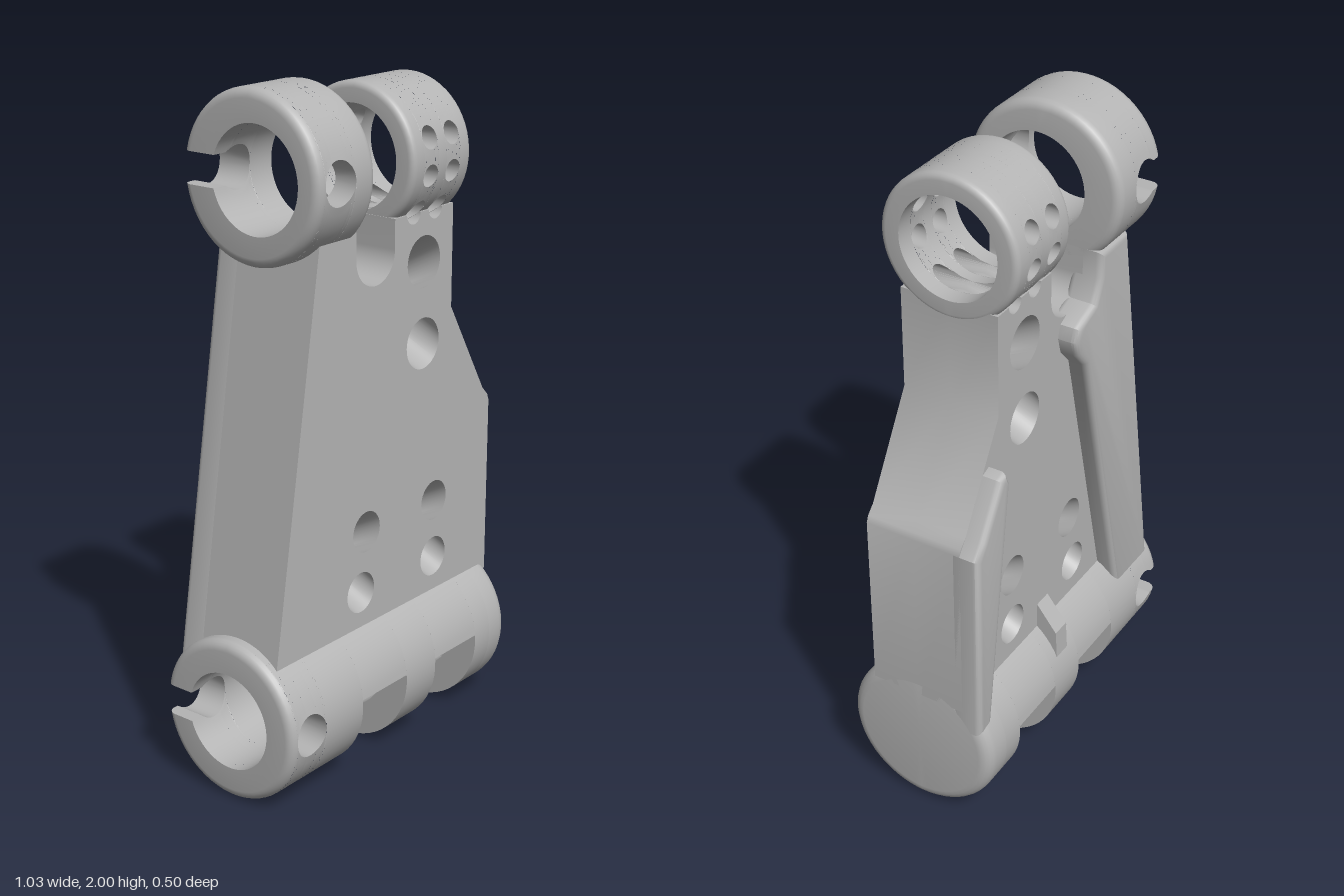
import * as THREE from 'three';
import { toCreasedNormals } from 'three/addons/utils/BufferGeometryUtils.js';

// smooth curved faces, keep edges sharp (enlarged so small fillets are resolved)
function crease(geo) {
  geo.scale(20, 20, 20);
  const out = toCreasedNormals(geo, 0.6);
  return out.scale(0.05, 0.05, 0.05);
}

// Tube along x with wall holes drilled along z.
// o: x0, x1, R, r, y, z, shift (outer offset in z), f0/f1 (end fillets),
// from (remove everything below this height), holes [{x, y, r, slot, side}]
function drilledTube(o) {
  const { x0, x1, R, r, y: cy, z: cz, shift = 0, f0 = 0, f1 = 0, from = -9, holes = [] } = o;
  const pos = [];
  const A = new THREE.Vector3(), B = new THREE.Vector3(), N = new THREE.Vector3();
  const tri = (a, b, c, hint) => {
    A.subVectors(b, a); B.subVectors(c, a); N.crossVectors(A, B);
    if (N.length() < 1e-9) return;
    const order = N.dot(hint) >= 0 ? [a, b, c] : [a, c, b];
    for (const p of order) pos.push(p.x, p.y + cy, p.z + cz);
  };
  const quad = (a, b, c, d, hint) => { tri(a, b, c, hint); tri(a, c, d, hint); };
  const outerR = (x) => {
    const round = (f, d) => (d < f ? f - Math.sqrt(Math.max(0, f * f - (f - d) ** 2)) : 0);
    return R - round(f0, x - x0) - round(f1, x1 - x);
  };
  const angle = (y, rad) => Math.asin(THREE.MathUtils.clamp(y / rad, -1, 1));
  const point = (x, a, rad, side, dz) =>
    new THREE.Vector3(x, rad * Math.sin(a), side * rad * Math.cos(a) + dz);
  const half = (h, x) => {
    const c = Math.sqrt(Math.max(0, h.r * h.r - (x - h.x) ** 2));
    return h.slot && x < h.x ? Math.max(h.slot, c) : c;
  };

  // stations along the axis: ends, fillets and hole edges
  const xs = [x0, x1];
  for (let i = 1; i <= 5; i++) {
    const k = 1 - Math.cos((i / 5) * Math.PI / 2);
    if (f0) xs.push(x0 + f0 * k);
    if (f1) xs.push(x1 - f1 * k);
  }
  for (const h of holes) {
    for (let i = 0; i <= 14; i++) xs.push(h.x - h.r * Math.cos((i / 14) * Math.PI));
    if (h.slot) xs.push(h.x - Math.sqrt(h.r * h.r - h.slot * h.slot));
  }
  const st = xs.sort((a, b) => a - b).filter((x, i) => i === 0 || x - xs[i - 1] > 1e-6);

  for (const side of [1, -1]) {
    for (let i = 0; i < st.length - 1; i++) {
      const xa = st[i], xb = st[i + 1], mid = (xa + xb) / 2;
      const Ra = outerR(xa), Rb = outerR(xb);
      const cut = holes
        .filter((h) => (!h.side || h.side === side) && (Math.abs(mid - h.x) < h.r || (h.slot && mid < h.x)))
        .sort((a, b) => a.y - b.y);
      const marks = [[from, from]];
      for (const h of cut) {
        marks.push([h.y - half(h, xa), h.y - half(h, xb)], [h.y + half(h, xa), h.y + half(h, xb)]);
      }
      marks.push([9, 9]);
      for (let m = 0; m < marks.length; m += 2) {
        const [la, lb] = marks[m], [ha, hb] = marks[m + 1];
        const steps = Math.max(2, Math.ceil((angle(ha, R) - angle(la, R)) / 0.11));
        const line = (x, lo, hi, rad, dz) => Array.from({ length: steps + 1 }, (_, k) =>
          point(x, THREE.MathUtils.lerp(angle(lo, rad), angle(hi, rad), k / steps), rad, side, dz));
        const oa = line(xa, la, ha, Ra, shift), ob = line(xb, lb, hb, Rb, shift);
        const ia = line(xa, la, ha, r, 0), ib = line(xb, lb, hb, r, 0);
        const left = new THREE.Vector3(-1, 0, 0), right = new THREE.Vector3(1, 0, 0);
        for (let k = 0; k < steps; k++) {
          const out = new THREE.Vector3(0, oa[k].y + oa[k + 1].y, oa[k].z + oa[k + 1].z - 2 * shift);
          quad(oa[k], ob[k], ob[k + 1], oa[k + 1], out);
          quad(ia[k], ib[k], ib[k + 1], ia[k + 1], out.clone().negate());
          if (i === 0) quad(oa[k], oa[k + 1], ia[k + 1], ia[k], left);
          if (i === st.length - 2) quad(ob[k], ob[k + 1], ib[k + 1], ib[k], right);
        }
        // walls of the holes
        if (la > -9) quad(oa[0], ob[0], ib[0], ia[0], new THREE.Vector3(0, -1, 0));
        if (ha < 9) quad(oa[steps], ob[steps], ib[steps], ia[steps], new THREE.Vector3(0, 1, 0));
      }
    }
  }
  const geo = new THREE.BufferGeometry();
  geo.setAttribute('position', new THREE.Float32BufferAttribute(pos, 3));
  return crease(geo);
}

export function createModel() {
  const group = new THREE.Group();
  const grey = new THREE.MeshStandardMaterial({ color: 0xb4b4b4 });
  grey.name = 'grey';
  const add = (name, geo) => {
    const mesh = new THREE.Mesh(geo, grey);
    mesh.name = name;
    group.add(mesh);
  };

  // main plate with fork notch
  const plate = new THREE.Shape();
  plate.moveTo(-0.478, 0.41);
  for (const [x, y] of [[0.513, 0.41], [0.513, 0.965], [0.505, 0.985], [0.48, 1.01], [0.31, 1.3], [0.31, 1.607]]) plate.lineTo(x, y);
  plate.absarc(0.225, 1.607, 0.031, 0, Math.PI, true);
  plate.absarc(0.125, 1.607, 0.031, 0, Math.PI, true);
  plate.lineTo(0.04, 1.607);
  plate.absarc(-0.045, 1.52, 0.085, 0, Math.PI, true);
  plate.lineTo(-0.13, 1.6);
  plate.lineTo(-0.283, 1.6);
  plate.closePath();
  // holes bend towards each other half way through: x, y, radius, bend
  const bores = [
    [0.175, 1.46, 0.076, -0.07], [0.175, 1.22, 0.076, 0.07],
    [-0.08, 0.72, 0.061, -0.07], [0.24, 0.72, 0.061, -0.07],
    [-0.105, 0.54, 0.061, 0.07], [0.24, 0.54, 0.061, 0.07],
  ];
  for (const [x, y, r] of bores) plate.holes.push(new THREE.Path().absarc(x, y, r, 0, Math.PI * 2, true));
  const plateGeo = new THREE.ExtrudeGeometry(plate, { depth: 0.3, steps: 2, bevelEnabled: false, curveSegments: 20 });
  const p = plateGeo.attributes.position;
  for (let i = 0; i < p.count; i++) {
    if (Math.abs(p.getZ(i) - 0.15) > 0.01) continue;
    const b = bores.find(([x, y, r]) => Math.hypot(p.getX(i) - x, p.getY(i) - y) < r + 0.004);
    if (b) p.setY(i, p.getY(i) + b[3]);
  }
  plateGeo.translate(0, 0, -0.14);
  add('plate', crease(plateGeo));

  // raised ribs on the back
  const rib = (name, pts) => {
    const geo = new THREE.ExtrudeGeometry(new THREE.Shape(pts.map(([x, y]) => new THREE.Vector2(x, y))), {
      depth: 0.06, bevelSize: 0.02, bevelThickness: 0.02, bevelOffset: -0.02, bevelSegments: 4,
    });
    geo.translate(0, 0, -0.18);
    add(name, crease(geo));
  };
  rib('slantedRib', [[-0.49, 0.34], [-0.29, 0.34], [-0.06, 1.28], [-0.015, 1.33], [0, 1.38], [-0.012, 1.42],
    [-0.045, 1.435], [-0.1, 1.455], [-0.13, 1.52], [-0.13, 1.6], [-0.283, 1.6]]);
  rib('sideRib', [[0.45, 0.34], [0.513, 0.34], [0.513, 0.965], [0.48, 1.01], [0.392, 1.16], [0.36, 1.17], [0.342, 1.13]]);

  // small gusset between plate and barrel
  const gusset = new THREE.ExtrudeGeometry(new THREE.Shape([
    new THREE.Vector2(0.12, 0.54), new THREE.Vector2(0.12, 0.41), new THREE.Vector2(0.21, 0.34), new THREE.Vector2(0.205, 0.43),
  ]), { depth: 0.06, bevelEnabled: false });
  gusset.rotateY(Math.PI / 2).translate(0.04, 0, 0);
  add('gusset', gusset);

  // upper fork rings
  add('largeRing', drilledTube({
    x0: -0.37, x1: -0.13, R: 0.24, r: 0.15, y: 1.76, z: 0.01, shift: -0.02, f0: 0.028, f1: 0.028,
    holes: [{ x: -0.28, y: 0.005, r: 0.062, side: 1 }, { x: -0.28, y: 0.005, r: 0.062, slot: 0.045, side: -1 }],
  }));
  const pinHoles = [];
  for (const x of [0.125, 0.225]) for (const y of [-0.145, -0.04, 0.065]) pinHoles.push({ x, y, r: 0.032 });
  add('smallRing', drilledTube({
    x0: 0.042, x1: 0.311, R: 0.21, r: 0.15, y: 1.76, z: 0.01, f0: 0.02, f1: 0.02, holes: pinHoles,
  }));

  // hinge barrel, cut from below between the knuckles
  const barrel = { R: 0.24, r: 0.145, y: 0.245, z: 0.01 };
  const pieces = [
    ['openKnuckle', { x0: -0.515, x1: -0.205, f0: 0.028,
      holes: [{ x: -0.43, y: 0, r: 0.062, side: 1 }, { x: -0.43, y: 0, r: 0.062, slot: 0.045, side: -1 }] }],
    ['barrelArch', { x0: -0.205, x1: 0, from: 0.02 }],
    ['middleKnuckle', { x0: 0, x1: 0.14 }],
    ['barrelArch', { x0: 0.14, x1: 0.345, from: 0.02 }],
    ['closedKnuckle', { x0: 0.345, x1: 0.42 }],
    ['barrelEnd', { x0: 0.42, x1: 0.513, r: 0.001, f1: 0.04 }],
  ];
  for (const [name, part] of pieces) add(name, drilledTube({ ...barrel, ...part }));

  return group;
}
